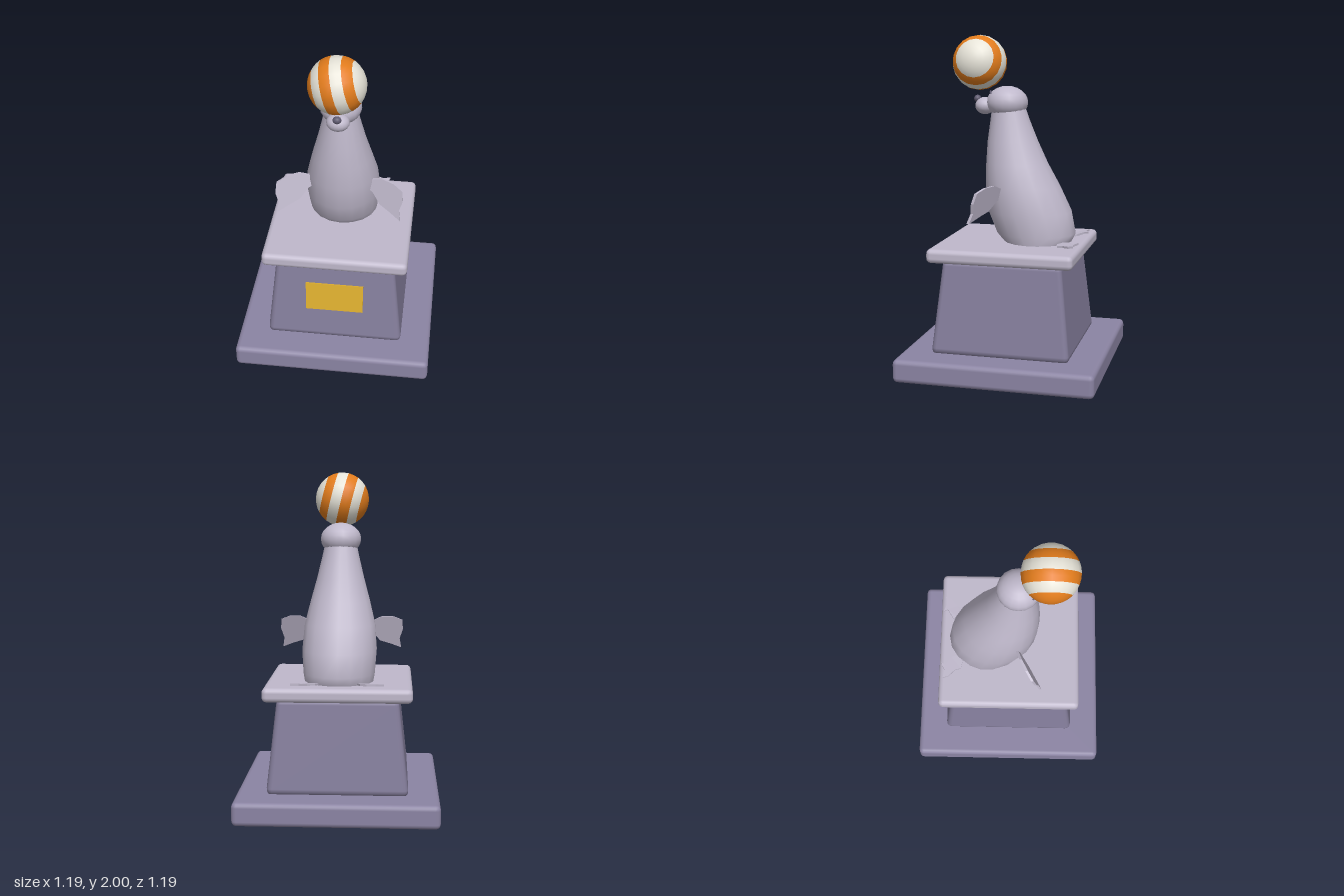
import * as THREE from 'three';
import { RoundedBoxGeometry } from 'three/addons/geometries/RoundedBoxGeometry.js';

const material = (name, color, side = THREE.FrontSide) => {
  const m = new THREE.MeshStandardMaterial({ color, side });
  m.name = name;
  return m;
};

// Closed rings stacked along y; each row is [y, frontZ, backZ, halfWidth]
function ringBody(rows, sides) {
  const pos = [], idx = [];
  rows.forEach(([y, front, back, halfX], i) => {
    for (let j = 0; j < sides; j++) {
      const a = (j / sides) * Math.PI * 2;
      pos.push(Math.sin(a) * halfX, y, (front + back) / 2 + Math.cos(a) * (front - back) / 2);
      if (i === rows.length - 1) continue;
      const p = i * sides + j, q = i * sides + (j + 1) % sides;
      idx.push(p, q, q + sides, p, q + sides, p + sides);
    }
  });
  const g = new THREE.BufferGeometry();
  g.setAttribute('position', new THREE.Float32BufferAttribute(pos, 3));
  g.setIndex(idx);
  g.computeVertexNormals();
  return g;
}

// Moves every vertex by a rule
function bend(g, rule) {
  const p = g.attributes.position, v = new THREE.Vector3();
  for (let i = 0; i < p.count; i++) {
    rule(v.fromBufferAttribute(p, i));
    p.setXYZ(i, v.x, v.y, v.z);
  }
  return g;
}

// Thin plate cut from a smooth or straight outline
function plate(points, depth) {
  const shape = new THREE.Shape(points.map(([x, y]) => new THREE.Vector2(x, y)));
  return new THREE.ExtrudeGeometry(shape, { depth, bevelEnabled: false });
}

export function createModel() {
  const root = new THREE.Group();
  root.name = 'sealOnPedestal';
  const skin = material('pale lilac', 0xbfb8cb);
  const stone = material('pedestal purple', 0x8b84a3);
  const gold = material('plaque gold', 0xe0b030);
  const orange = material('ball orange', 0xe27c1c);
  const white = material('ball white', 0xe6e3d8);
  const dark = material('nose grey', 0x5f5a70);

  const add = (name, geometry, mat, x = 0, y = 0, z = 0, parent = root) => {
    const m = new THREE.Mesh(geometry, mat);
    m.name = name;
    m.position.set(x, y, z);
    parent.add(m);
    return m;
  };

  // Pedestal: plinth, tapered block, top slab
  add('plinth', new RoundedBoxGeometry(1.19, 0.14, 1.19, 2, 0.03), stone, 0, 0.07, 0);
  const block = bend(new RoundedBoxGeometry(1, 0.57, 1, 2, 0.04), v => {
    const width = 0.835 - 0.22 * (v.y + 0.285);
    v.x *= width;
    v.z *= width;
  });
  add('pedestalBlock', block, stone, 0, 0.415, 0);
  add('topSlab', new RoundedBoxGeometry(0.87, 0.085, 0.87, 2, 0.03), skin, 0, 0.728, 0);
  add('plaque', new THREE.BoxGeometry(0.35, 0.19, 0.009), gold, 0, 0.445, 0.392).rotation.x = -0.11;

  // Body
  add('body', ringBody([
    [0.765, 0.06, -0.345, 0.205],
    [0.82, 0.11, -0.373, 0.215],
    [0.95, 0.163, -0.348, 0.225],
    [1.1, 0.178, -0.275, 0.213],
    [1.235, 0.178, -0.2, 0.18],
    [1.37, 0.17, -0.138, 0.143],
    [1.5, 0.152, -0.085, 0.112],
    [1.6, 0.14, -0.05, 0.09],
  ], 18), skin);

  // Head
  const ball = (name, mat, r, x, y, z) => {
    add(name, new THREE.SphereGeometry(1, 18, 12), mat, x, y, z).scale.set(...r);
  };
  ball('head', skin, [0.122, 0.098, 0.125], 0, 1.602, 0.05);
  ball('muzzle', skin, [0.067, 0.052, 0.06], 0, 1.58, 0.188);
  ball('nose', dark, [0.025, 0.022, 0.022], 0, 1.622, 0.235);

  // Mirrored features
  const frontOutline = [
    [0.15, 1.08], [0.19, 1.105], [0.25, 1.13], [0.32, 1.125], [0.375, 1.1], [0.38, 1.04],
    [0.36, 0.98], [0.37, 0.92], [0.305, 0.95], [0.24, 0.975], [0.195, 1.03], [0.15, 1.05],
  ];
  const tailOutline = [
    [0.1, 0.28], [0.2, 0.3], [0.212, 0.335], [0.255, 0.375], [0.268, 0.41],
    [0.22, 0.4], [0.17, 0.422], [0.185, 0.395], [0.13, 0.36],
  ];
  for (const s of [1, -1]) {
    const side = s > 0 ? 'left' : 'right';
    const mirrored = pts => pts.map(([x, y]) => [x * s, y]);

    const flipper = bend(plate(mirrored(frontOutline), 0.016), v => {
      v.z += 0.03 + 0.5 * (Math.abs(v.x) - 0.18) + 0.3 * (1.12 - v.y);
    });
    flipper.computeVertexNormals();
    add(side + 'FrontFlipper', flipper, skin);

    // Tail flippers lie on the slab and rise a little toward the tips
    const tail = plate(mirrored(tailOutline), 0.012).rotateX(-Math.PI / 2);
    bend(tail, v => { v.y += 0.768 + 0.16 * Math.max(0, -v.z - 0.3); });
    tail.computeVertexNormals();
    add(side + 'TailFlipper', tail, skin);

    const lid = new THREE.QuadraticBezierCurve3(
      new THREE.Vector3(0.03 * s, 1.652, 0.148),
      new THREE.Vector3(0.052 * s, 1.688, 0.138),
      new THREE.Vector3(0.078 * s, 1.652, 0.132));
    add(side + 'ClosedEye', new THREE.TubeGeometry(lid, 8, 0.006, 6), dark);
  }

  // Striped ball: bands around a tilted sideways axis
  const toy = new THREE.Group();
  toy.name = 'stripedBall';
  toy.position.set(0, 1.837, 0.22);
  toy.rotation.z = 0.25 - Math.PI / 2;
  root.add(toy);
  const step = Math.PI / 8;
  [[0, 2, white], [2, 1, orange], [3, 1, white], [4, 1, orange], [5, 1, white], [6, 2, orange]]
    .forEach(([start, rows, mat], i) => add('ballBand' + (i + 1),
      new THREE.SphereGeometry(0.164, 18, rows * 2, 0, Math.PI * 2, start * step, rows * step),
      mat, 0, 0, 0, toy));

  return root;
}
